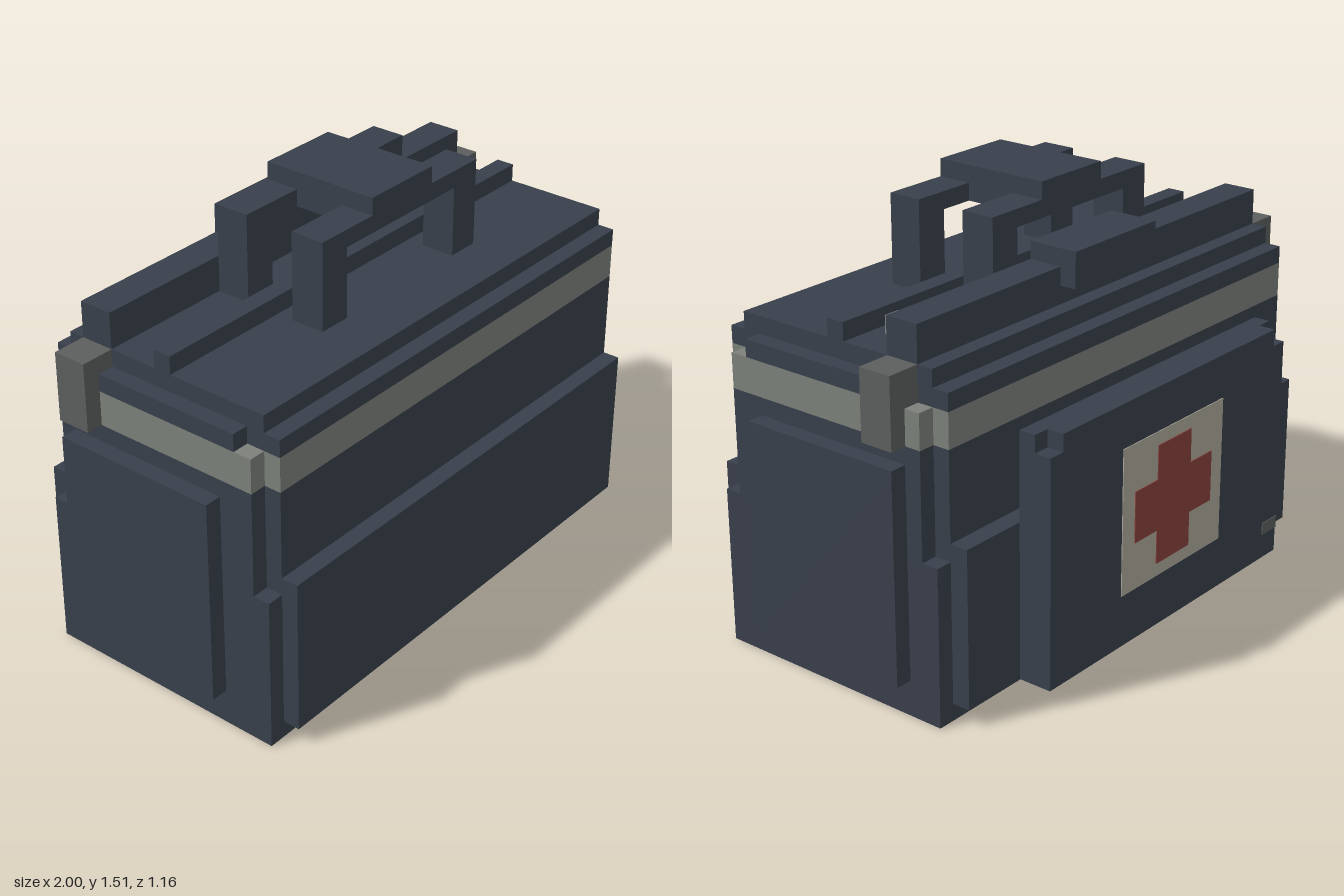
import * as THREE from 'three';

const fabric = new THREE.MeshStandardMaterial({ color: 0x383f4b });
fabric.name = 'slate fabric';
const reflective = new THREE.MeshStandardMaterial({ color: 0x7c807a });
reflective.name = 'reflective grey';
const metal = new THREE.MeshStandardMaterial({ color: 0x5c5d5d });
metal.name = 'buckle grey';
const cream = new THREE.MeshStandardMaterial({ color: 0xada89b });
cream.name = 'badge cream';
const red = new THREE.MeshStandardMaterial({ color: 0x88403a });
red.name = 'cross red';

export function createModel() {
  const model = new THREE.Group();
  model.name = 'medicalBag';

  // Box given by its limits on each axis
  const box = (name, material, [x0, x1], [y0, y1], [z0, z1]) => {
    const mesh = new THREE.Mesh(new THREE.BoxGeometry(x1 - x0, y1 - y0, z1 - z0), material);
    mesh.position.set((x0 + x1) / 2, (y0 + y1) / 2, (z0 + z1) / 2);
    mesh.name = name;
    model.add(mesh);
  };

  // Outline given in x and z, raised from y0 to y1
  const prism = (name, material, points, y0, y1) => {
    const shape = new THREE.Shape(points.map(([x, z]) => new THREE.Vector2(x, -z)));
    const geometry = new THREE.ExtrudeGeometry(shape, { depth: y1 - y0, bevelEnabled: false });
    geometry.rotateX(-Math.PI / 2).translate(0, y0, 0);
    const mesh = new THREE.Mesh(geometry, material);
    mesh.name = name;
    model.add(mesh);
  };

  // Rectangle with notched corners; the sides span only zBack to zFront
  const notched = (zBack, zFront) => [
    [-0.88, 0.515], [0.88, 0.515], [0.88, zFront], [0.94, zFront],
    [0.94, zBack], [0.88, zBack], [0.88, -0.39], [-0.88, -0.39],
    [-0.88, zBack], [-0.94, zBack], [-0.94, zFront], [-0.88, zFront],
  ];

  // Bag body, reflective band and lid
  box('base', fabric, [-0.94, 0.94], [0, 0.545], [-0.39, 0.515]);
  prism('upperBody', fabric, notched(-0.33, 0.455), 0.545, 0.91);
  prism('reflectiveBand', reflective, notched(-0.33, 0.455), 0.91, 1.03);
  prism('lidRim', fabric, notched(-0.27, 0.39), 1.03, 1.09);
  box('lidTop', fabric, [-0.88, 0.88], [1.09, 1.15], [-0.33, 0.455]);

  // Front and back panels
  box('frontPanel', fabric, [-0.88, 0.88], [0.06, 0.605], [0.515, 0.575]);
  box('backPanel', fabric, [-0.88, 0.88], [0.06, 0.605], [-0.455, -0.39]);

  // Back pocket with its two upper corners cut away
  box('backPocket', fabric, [-0.635, 0.635], [0.06, 0.85], [-0.575, -0.455]);
  prism('backPocketTop', fabric, [
    [-0.635, -0.455], [0.635, -0.455], [0.635, -0.515], [0.575, -0.515],
    [0.575, -0.575], [-0.575, -0.575], [-0.575, -0.515], [-0.635, -0.515],
  ], 0.85, 0.91);

  // Badge and cross on the pocket
  box('badge', cream, [-0.273, 0.273], [0.243, 0.757], [-0.578, -0.575]);
  const cross = new THREE.Shape([
    [-0.09, -0.21], [0.09, -0.21], [0.09, -0.09], [0.21, -0.09], [0.21, 0.09], [0.09, 0.09],
    [0.09, 0.21], [-0.09, 0.21], [-0.09, 0.09], [-0.21, 0.09], [-0.21, -0.09], [-0.09, -0.09],
  ].map(([x, y]) => new THREE.Vector2(x, y)));
  const crossMesh = new THREE.Mesh(
    new THREE.ExtrudeGeometry(cross, { depth: 0.003, bevelEnabled: false }), red);
  crossMesh.position.set(0, 0.5, -0.581);
  crossMesh.name = 'cross';
  model.add(crossMesh);
  box('pocketZipPull', metal, [-0.635, -0.55], [0.15, 0.195], [-0.578, -0.575]);

  // Side pockets and buckles
  for (const side of [-1, 1]) {
    const span = (a, b) => (side > 0 ? [a, b] : [-b, -a]);
    box('sidePocket', fabric, span(0.94, 1), [0.125, 0.85], [-0.27, 0.33]);
    box('sideBuckle', metal, span(0.88, 1), [0.91, 1.15], [-0.273, -0.153]);
  }

  // Ridges, closing flap and zip pull on the lid
  box('zipRidge', fabric, [-0.88, 0.88], [1.15, 1.212], [0.025, 0.09]);
  box('lidStrap', fabric, [-0.88, 0.88], [1.15, 1.275], [-0.273, -0.153]);
  box('lidFlap', fabric, [-0.21, 0.21], [1.212, 1.335], [-0.333, -0.153]);
  box('lidZipPull', reflective, [0.695, 0.755], [1.15, 1.212], [-0.152, -0.03]);

  // Two carrying loops joined by a grip
  for (const z of [[-0.152, -0.03], [0.152, 0.273]]) {
    for (const x of [[-0.393, -0.275], [0.275, 0.393]]) {
      box('handlePost', fabric, x, [1.15, 1.395], z);
    }
    box('handleBar', fabric, [-0.393, 0.393], [1.395, 1.455], z);
  }
  box('handleGrip', fabric, [-0.152, 0.152], [1.395, 1.515], [-0.152, 0.273]);

  return model;
}
